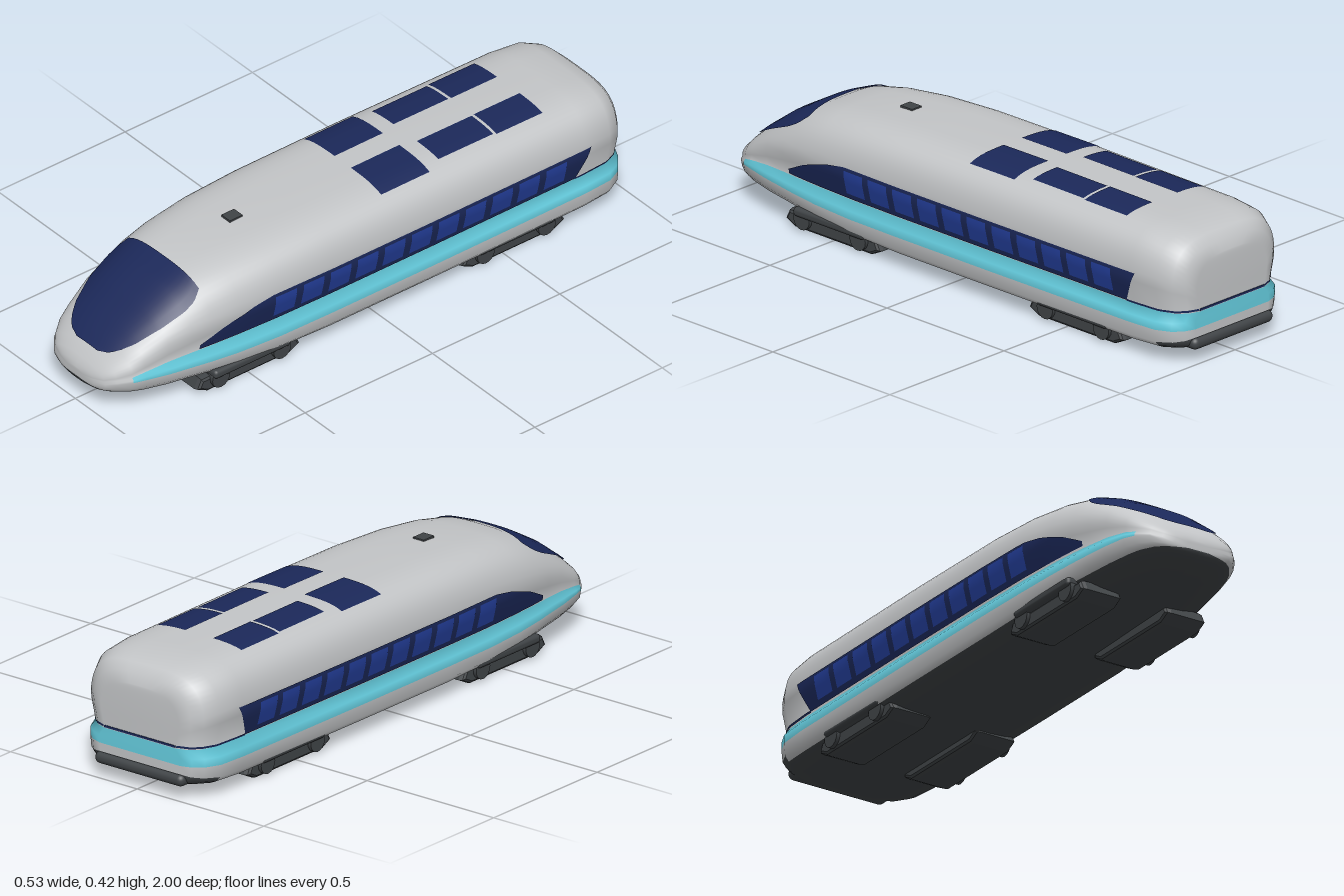
import * as THREE from 'three';
import { RoundedBoxGeometry } from 'three/addons/geometries/RoundedBoxGeometry.js';

// Body stations: z, half width, roof, floor, stripe bottom, stripe top, roundness
const STATIONS = [
  [1, .045, .126, .09, .1, .114, 2.1],
  [.995, .085, .142, .081, .103, .119, 2.2],
  [.983, .125, .16, .073, .11, .125, 2.3],
  [.96, .155, .184, .064, .122, .135, 2.4],
  [.92, .185, .22, .055, .129, .145, 2.5],
  [.88, .2, .252, .05, .131, .155, 2.6],
  [.8, .218, .31, .047, .128, .165, 2.8],
  [.72, .23, .356, .044, .125, .168, 2.9],
  [.65, .24, .384, .042, .122, .169, 3.1],
  [.55, .25, .402, .04, .118, .17, 3.4],
  [.4, .258, .414, .035, .115, .17, 3.8],
  [.2, .261, .421, .03, .115, .17, 4],
  [-.2, .261, .424, .03, .115, .17, 4],
  [-.8, .257, .421, .03, .115, .17, 4],
  [-.9, .25, .412, .034, .115, .17, 4],
  [-.95, .226, .396, .04, .115, .168, 3.8],
  [-.975, .195, .372, .045, .115, .168, 3.6],
  [-.987, .16, .338, .05, .115, .168, 3.2],
];
const LOWER = 6, UPPER = 14;

// Piecewise linear lookup in rows sorted by falling z
function lookup(rows, z) {
  let i = 0;
  while (i < rows.length - 2 && z < rows[i + 1][0]) i++;
  const a = rows[i], b = rows[i + 1];
  const t = THREE.MathUtils.clamp((z - a[0]) / (b[0] - a[0]), 0, 1);
  return a.map((v, k) => v + (b[k] - v) * t);
}

// Inset of the wall above the sloping stripe ledge
const inset = (y, lo, hi) => .4 * (hi - lo) * Math.max(0, 1 - (y - hi) / .085);

// Body surface: side x at a height, and roof y at a width
function sideX(y, z) {
  const [, w, top, , lo, hi, n] = lookup(STATIONS, z);
  const s = THREE.MathUtils.clamp((y - hi) / (top - hi), 0, 1);
  return w * (1 - s ** n) ** (1 / n) - inset(y, lo, hi);
}
function roofY(x, z) {
  const [, w, top, , , hi, n] = lookup(STATIONS, z);
  const s = Math.min(Math.abs(x) / w, 1);
  return hi + (top - hi) * (1 - s ** n) ** (1 / n);
}

// Right half of one cross-section, from the floor centre up to the roof centre
function halfSection([z, w, top, floor, lo, hi, n]) {
  const points = [];
  const power = a => Math.max(a, 0) ** (2 / n);
  for (let i = 0; i <= LOWER; i++) {
    const a = (1 - i / LOWER) * Math.PI / 2;
    points.push([i ? w * power(Math.cos(a)) : 0, lo - (lo - floor) * power(Math.sin(a)), z]);
  }
  points.push([w, lo + .5 * (hi - lo), z]);   // outer edge of the ledge
  for (let i = 0; i <= UPPER; i++) {
    const a = i / UPPER * Math.PI / 2;
    const y = hi + (top - hi) * power(Math.sin(a));
    points.push([i < UPPER ? Math.max(0, w * power(Math.cos(a)) - inset(y, lo, hi)) : 0, y, z]);
  }
  return points;
}

function bodyGeometry() {
  const positions = [], buckets = [[], [], []];   // shell, stripe, underside
  const bucketOf = (row, z) => {
    if (row < (z < -.85 ? 5 : 4)) return 2;
    return (row === LOWER || row === LOWER + 1) && z < .94 ? 1 : 0;
  };
  const halves = STATIONS.map(halfSection);
  const count = halves[0].length, ring = 2 * count - 1;
  const starts = halves.map(half => {
    const start = positions.length / 3;
    half.forEach(p => positions.push(...p));
    for (let j = count - 2; j >= 0; j--) positions.push(-half[j][0], half[j][1], half[j][2]);
    return start;
  });
  // Skin
  for (let i = 0; i < starts.length - 1; i++) {
    for (let j = 0; j < ring - 1; j++) {
      const a = starts[i] + j, c = starts[i + 1] + j;
      const row = Math.min(j, ring - 2 - j);
      buckets[bucketOf(row, STATIONS[i][0])].push(a, c, a + 1, a + 1, c, c + 1);
    }
  }
  // End caps, one strip per row so the stripe runs across the tail
  for (const end of [0, starts.length - 1]) {
    for (let j = 0; j < count - 1; j++) {
      const r = starts[end] + j, l = starts[end] + ring - 1 - j;
      const quad = [r, r + 1, l - 1, r, l - 1, l];
      buckets[bucketOf(j, STATIONS[end][0])].push(...(end ? quad.reverse() : quad));
    }
  }
  const geometry = new THREE.BufferGeometry();
  geometry.setAttribute('position', new THREE.Float32BufferAttribute(positions, 3));
  geometry.setIndex(buckets.flat());
  let start = 0;
  buckets.forEach((b, k) => { geometry.addGroup(start, b.length, k); start += b.length; });
  geometry.computeVertexNormals();
  return geometry;
}

// Thin curved sheet from a rule point(u, v)
function sheet(nu, nv, point) {
  const positions = [], index = [];
  for (let i = 0; i <= nu; i++) for (let j = 0; j <= nv; j++) positions.push(...point(i / nu, j / nv));
  for (let i = 0; i < nu; i++) for (let j = 0; j < nv; j++) {
    const a = i * (nv + 1) + j, c = a + nv + 1;
    index.push(a, c, a + 1, a + 1, c, c + 1);
  }
  const geometry = new THREE.BufferGeometry();
  geometry.setAttribute('position', new THREE.Float32BufferAttribute(positions, 3));
  geometry.setIndex(index);
  geometry.computeVertexNormals();
  return geometry;
}

export function createModel() {
  const train = new THREE.Group();
  train.name = 'train';
  const material = (name, color, side = THREE.FrontSide) => {
    const m = new THREE.MeshStandardMaterial({ color, side });
    m.name = name;
    return m;
  };
  const shell = material('shellGrey', 0xc3c5c7);
  const stripe = material('stripeCyan', 0x66cee0);
  const dark = material('undersideDark', 0x404447);
  const navy = material('glassNavy', 0x1b2859, THREE.DoubleSide);
  const blue = material('paneBlue', 0x243f9c, THREE.DoubleSide);
  const add = (name, geometry, mat, parent = train) => {
    const mesh = new THREE.Mesh(geometry, mat);
    mesh.name = name;
    parent.add(mesh);
    return mesh;
  };

  add('body', bodyGeometry(), [shell, stripe, dark]);

  // Windshield
  const shield = [[.952, .05], [.942, .085], [.92, .115], [.88, .145], [.8, .176], [.72, .19], [.68, .188], [.65, .172]];
  add('windshield', sheet(24, 16, (u, v) => {
    const s = 2 * v - 1, z = .952 - .302 * u, x = s * lookup(shield, z)[1];
    return [x, roofY(x, z) + .003, z + .003];
  }), navy);

  // Side window bands with brighter panes
  const bandTop = [[.69, .19], [.6, .235], [.5, .266], [.42, .28], [-.9, .28]];
  for (const side of [1, -1]) {
    const name = side > 0 ? 'left' : 'right';
    add(name + 'WindowBand', sheet(40, 6, (u, v) => {
      const z = .69 - u * (1.46 + .05 * v);
      const y = THREE.MathUtils.lerp(.174, lookup(bandTop, z)[1], v);
      return [side * (sideX(y, z) + .003), y, z];
    }), navy);
    for (let i = 0; i < 11; i++) {
      add(name + 'Pane', sheet(3, 4, (u, v) => {
        const z = .42 - .106 * i - .08 * u, y = .192 + .078 * v;
        return [side * (sideX(y, z) + .005), y, z];
      }), blue);
    }
    // Trim line that carries the band around the rear corner
    add(name + 'TrimLine', sheet(16, 1, (u, v) => {
      const z = -.77 - .217 * u, y = .171 + .007 * v;
      return [side * (sideX(y, z) + .003), y, z];
    }), navy);

    // Roof windows: inner x, outer x, rear z, front z
    for (const [x0, x1, z0, z1] of [[.055, .167, -.7, -.52], [.057, .162, -.51, -.295], [.04, .188, -.24, -.05]]) {
      add(name + 'RoofWindow', sheet(6, 6, (u, v) => {
        const x = side * (x0 + (x1 - x0) * u), z = z0 + (z1 - z0) * v;
        return [x, roofY(x, z) + .002, z];
      }), navy);
    }

    // Bogies: bevelled frame, wheels and an axle box cover
    for (const z of [.5, -.54]) {
      const bogie = new THREE.Group();
      bogie.name = name + 'Bogie';
      bogie.position.z = z;
      train.add(bogie);
      const profile = new THREE.Shape([[-.16, .015], [.16, .015], [.19, .03], [.18, .05], [-.18, .05], [-.19, .03]]
        .map(p => new THREE.Vector2(...p)));
      const frame = new THREE.ExtrudeGeometry(profile,
        { depth: .11, bevelThickness: .018, bevelSize: .01, bevelSegments: 2 });
      frame.rotateY(-Math.PI / 2);
      add('bogieFrame', frame, dark, bogie).position.x = side > 0 ? .21 : -.1;
      for (const dz of [-.12, .12]) {
        const wheel = new THREE.CylinderGeometry(.034, .034, .05, 16).rotateZ(Math.PI / 2);
        add('wheel', wheel, dark, bogie).position.set(side * .215, .046, dz);
      }
      add('bogieCover', new RoundedBoxGeometry(.05, .03, .3, 2, .012), dark, bogie)
        .position.set(side * .225, .068, 0);
    }
  }

  // Rear trim line, bumper and roof antenna
  add('rearTrimLine', new THREE.BoxGeometry(.28, .007, .006), navy).position.set(0, .174, -.986);
  add('rearBumper', new RoundedBoxGeometry(.35, .04, .09, 3, .019), dark).position.set(0, .067, -.955);
  add('roofAntenna', new THREE.BoxGeometry(.042, .01, .05), dark).position.set(0, .415, .385);
  return train;
}
